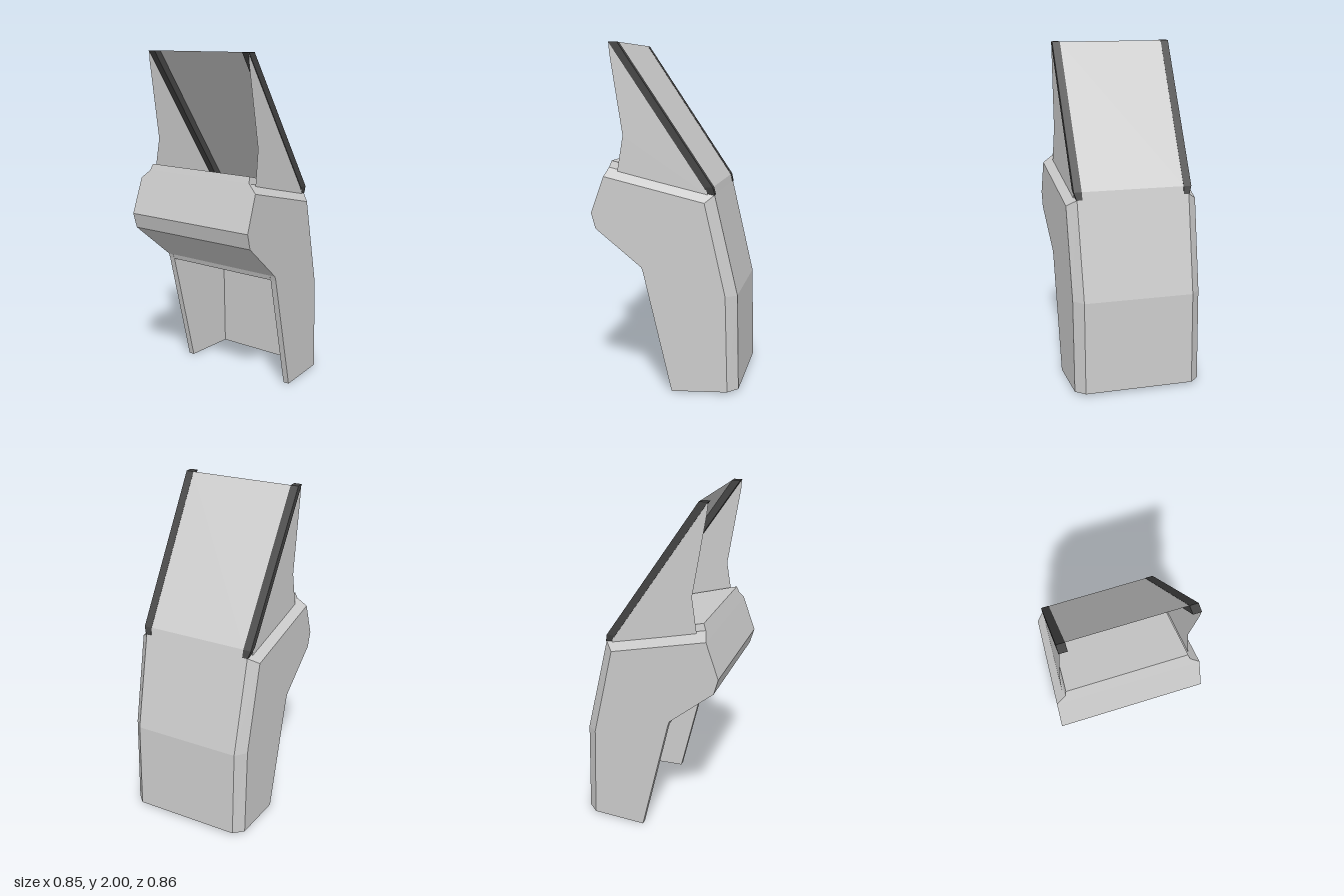
import * as THREE from 'three';

const material = (color) => new THREE.MeshStandardMaterial({ color, flatShading: true, side: THREE.DoubleSide });
const grey = material(0xcccccc);
const dark = material(0x444444);

// Half depth of the tapering side walls at a given x
const wallZ = (x) => 0.43 - 0.064 * (x + 0.42);
const mirror = ([x, y, z]) => [x, y, -z];
const full = (half) => [...half, ...half.map(mirror).reverse()];

// Flat-shaded mesh from convex polygons, each split as a fan
function facets(name, polygons, mat = grey) {
  const pos = [];
  for (const p of polygons) {
    for (let i = 1; i < p.length - 1; i++) pos.push(...p[0], ...p[i], ...p[i + 1]);
  }
  const geo = new THREE.BufferGeometry();
  geo.setAttribute('position', new THREE.Float32BufferAttribute(pos, 3));
  geo.computeVertexNormals();
  const mesh = new THREE.Mesh(geo, mat);
  mesh.name = name;
  return mesh;
}

// Quads joining successive rows of points
function loft(rows, closed = false) {
  const quads = [];
  for (let r = 0; r < rows.length - 1; r++) {
    const n = rows[r].length;
    for (let i = 0; i < (closed ? n : n - 1); i++) {
      const j = (i + 1) % n;
      quads.push([rows[r][i], rows[r][j], rows[r + 1][j], rows[r + 1][i]]);
    }
  }
  return quads;
}

// Flat sheet with an x-y outline, placed in depth by a rule
function sheet(name, outline, depth, side) {
  const geo = new THREE.ShapeGeometry(new THREE.Shape(outline.map(([x, y]) => new THREE.Vector2(x, y))));
  const p = geo.attributes.position;
  for (let i = 0; i < p.count; i++) p.setZ(i, side * depth(p.getX(i), p.getY(i)));
  geo.computeVertexNormals();
  const mesh = new THREE.Mesh(geo, grey);
  mesh.name = name;
  return mesh;
}

export function createModel() {
  const model = new THREE.Group();
  model.name = 'console';

  // Front panels with chamfered corners, from the bottom up
  const corners = [[0.363, 0.01], [0.347, 0.575], [0.225, 1.11]];
  const faces = [[0.421, 0.015, 0.325], [0.409, 0.575, 0.325], [0.274, 1.15, 0.333]];
  const outer = corners.map(([x, y], i) => full([[x, y, wallZ(x)], faces[i]]));
  model.add(facets('frontPanels', loft(outer)));

  // Hollow inside of the base, its walls thinning out towards the top
  const inner = [
    [[0.04, 0, 0.037], [0.355, 0.01, 0.037]],
    [[-0.125, 0.7, 0.037], [0.342, 0.575, 0.037]],
    [[-0.35, 1.25, 0.002], [0.225, 1.11, 0.002]],
  ].map((half) => full(half.map(([x, y, inset]) => [x, y, wallZ(x) - inset])));
  model.add(facets('innerWalls', loft(inner)));

  // Rims of the walls along the bottom and the open rear
  const rearBottom = [0.04, 0, wallZ(0.04)];
  const rearTop = [-0.125, 0.7, wallZ(-0.125)];
  const [a, b, c, d] = inner[0];
  model.add(facets('bottomRim', loft([[rearBottom, ...outer[0], mirror(rearBottom)], [a, b, b, c, c, d]])));
  const rearRim = [rearBottom, a, inner[1][0], rearTop];
  model.add(facets('rearRims', [rearRim, rearRim.map(mirror)]));

  // Rear of the cabinet: lip, underside, bevel, back and upper bevel
  const rearProfile = [[-0.125, 0.7], [-0.135, 0.73], [-0.4, 0.95], [-0.425, 1.04], [-0.35, 1.25]];
  const rearRows = rearProfile.map(([x, y]) => [[x, y, wallZ(x)], [x, y, -wallZ(x)]]);
  const ridge = [[-0.332, 1.298, 0.37], [-0.318, 1.335, 0.36]];
  rearRows.push(...ridge.map((p) => [p, mirror(p)]));
  model.add(facets('cabinetBack', loft(rearRows)));

  // Top: a chamfer along each side, a small step and the raised middle
  const sideEdge = [[-0.35, 1.25, wallZ(-0.35)], [0.225, 1.11, wallZ(0.225)]];
  const stepEdge = [ridge[0], faces[2]];
  const topEdge = [ridge[1], [0.262, 1.19, 0.328]];
  const topHalf = [sideEdge, stepEdge, topEdge];
  model.add(facets('cabinetTop', loft([...topHalf, ...topHalf.map((r) => r.map(mirror)).reverse()])));

  // Side walls, wings and rails, mirrored in depth
  const wall = [[0.04, 0], ...corners, [-0.35, 1.25], ...rearProfile.slice(0, 4).reverse()];
  const wing = [[0.236, 1.152], [0.225, 1.19], [-0.318, 2], [-0.33, 2], [-0.325, 1.94], [-0.25, 1.48], [-0.282, 1.275]];
  const wingZ = (x, y) => 0.376 - 0.0665 * (x + 0.28) - 0.027 * (y - 1.285);
  const railRows = [
    [-0.28, -0.33, 2.0, 0.317, 0.364],
    [0.266, 0.214, 1.195, 0.303, 0.35],
    [0.277, 0.236, 1.15, 0.302, 0.336],
  ].map(([front, back, y, zIn, zOut]) => [[front, y, zIn], [front, y, zOut], [back, y, zOut], [back, y, zIn]]);

  for (const side of [1, -1]) {
    const label = side > 0 ? 'Front' : 'Rear';
    model.add(sheet('sideWall' + label, wall, wallZ, side));
    model.add(sheet('wing' + label, wing, wingZ, side));
    const rows = side > 0 ? railRows : railRows.map((r) => r.map(mirror));
    model.add(facets('rail' + label, [...loft(rows, true), rows[0], rows[2]], dark));
  }

  // Sloping plate between the rails
  const plate = [[-0.281, 2, 0.32], [0.264, 1.195, 0.306], [0.274, 1.15, 0.333]];
  model.add(facets('slopingPlate', loft([plate, plate.map(mirror)])));

  return model;
}
